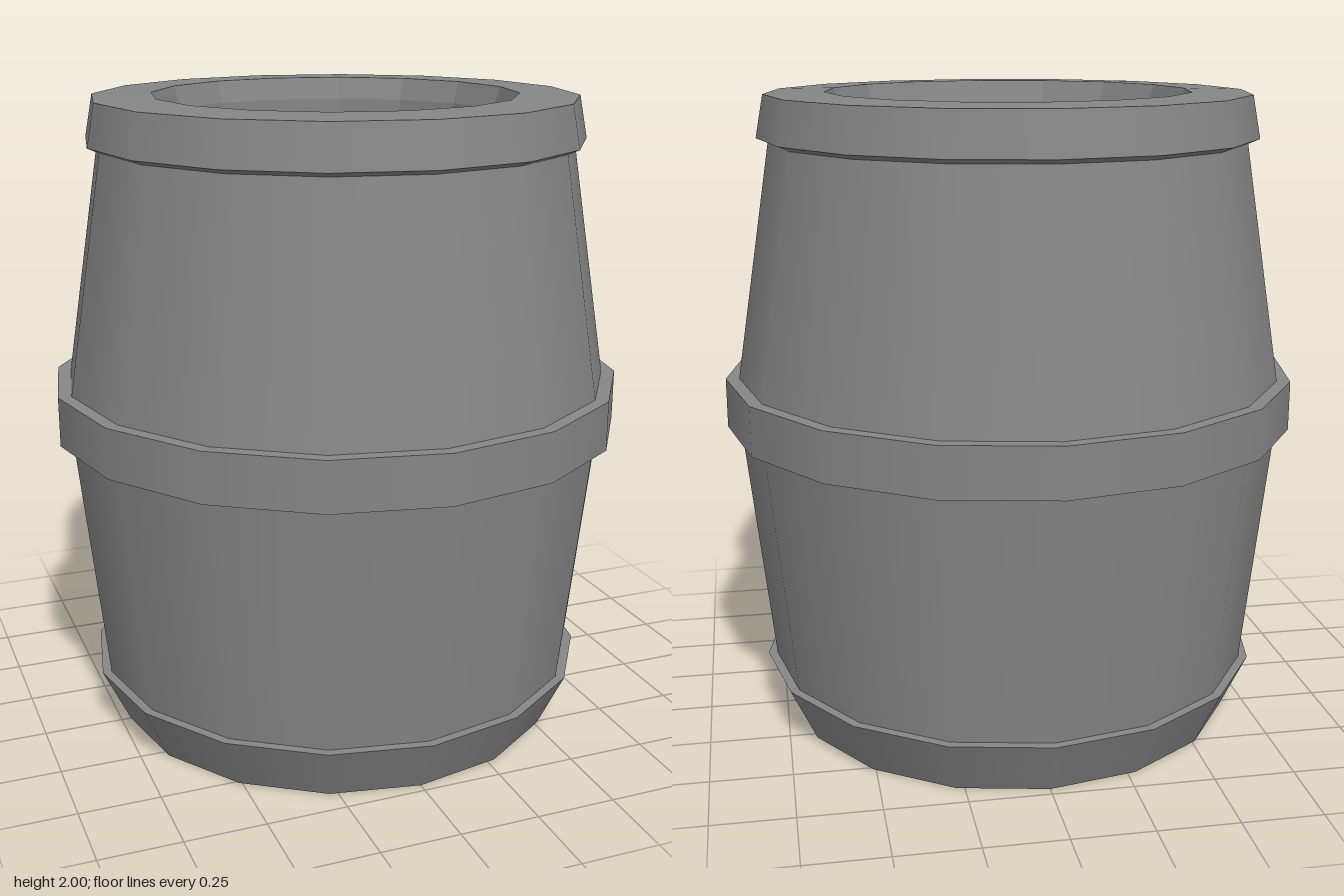
import * as THREE from 'three';
import { mergeGeometries } from 'three/addons/utils/BufferGeometryUtils.js';

const SIDES = 16;
const COLOR = 0x868686;
const material = new THREE.MeshStandardMaterial({ color: COLOR });
const facetedMaterial = new THREE.MeshStandardMaterial({ color: COLOR, flatShading: true });

// Lathe through [radius, height] points, smooth along and around, unit normals.
function lathe(profile) {
  const geometry = new THREE.LatheGeometry(profile.map(([r, y]) => new THREE.Vector2(r, y)), SIDES);
  geometry.normalizeNormals();
  return geometry;
}

function part(name, geometry, mat = material) {
  const mesh = new THREE.Mesh(geometry, mat);
  mesh.name = name;
  return mesh;
}

// One band per profile segment, so that profile corners stay sharp.
// Rising points face outward, falling points face the axis.
function turned(name, profile, mat) {
  const bands = profile.slice(1).map((point, i) => lathe([profile[i], point]));
  return part(name, mergeGeometries(bands), mat);
}

export function createModel() {
  const barrel = new THREE.Group();
  barrel.name = 'barrel';

  barrel.add(
    // Bulging staves, lower and upper halves
    turned('lowerStaves', [[0.775, 0.17], [0.86, 0.97]]),
    turned('upperStaves', [[0.86, 1.11], [0.74, 1.85]]),

    // Flared foot, with its flat underside and upper ledge
    turned('footHoop', [[0.6, 0], [0.72, 0], [0.805, 0.18], [0.76, 0.18]]),

    // Straight hoop around the widest part
    turned('middleHoop', [[0.84, 0.965], [0.9, 0.965], [0.9, 1.12], [0.84, 1.12]]),

    // Top rim with a sloped underside and a broad flat lip
    turned('topRim', [[0.74, 1.85], [0.775, 1.865], [0.75, 1.995], [0.565, 2]]),

    // Open interior: bevelled mouth, nearly vertical wall, softly dished floor
    turned('innerWall', [[0.565, 2], [0.545, 1.93], [0.54, 0.22]], facetedMaterial),
    part('innerFloor', lathe([[0.54, 0.22], [0.4, 0.195], [0.2, 0.18], [0, 0.18]])),

    // Recessed underside
    turned('bottomRecessWall', [[0.6, 0.13], [0.6, 0]], facetedMaterial),
    turned('bottomPanel', [[0, 0.13], [0.6, 0.13]])
  );

  return barrel;
}
